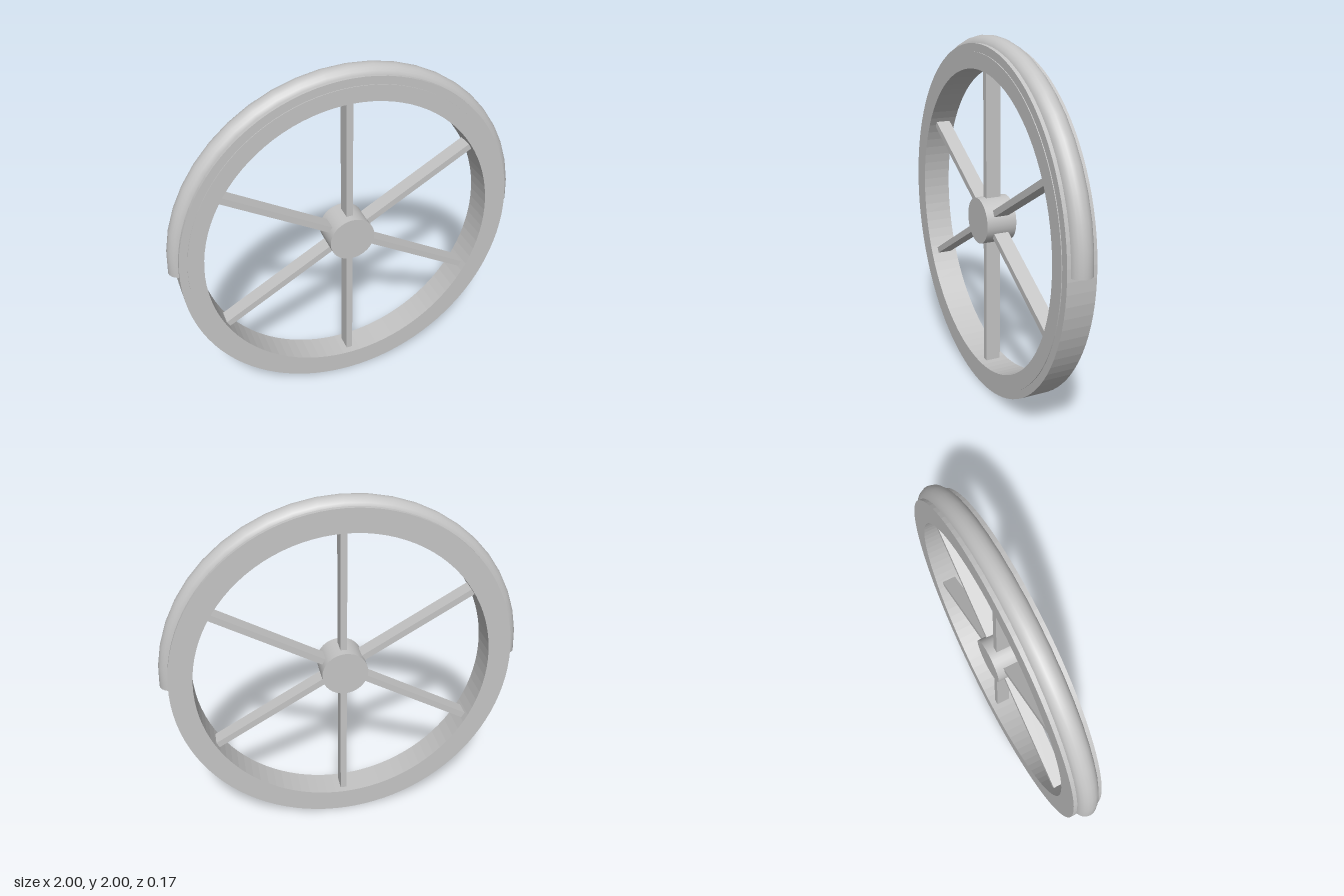
import * as THREE from 'three';

const SEGMENTS = 48;

// Flat ring extruded along z, from z0 to z1
function ring(outer, inner, z0, z1) {
  const shape = new THREE.Shape().absarc(0, 0, outer, 0, Math.PI * 2, false);
  shape.holes.push(new THREE.Path().absarc(0, 0, inner, 0, Math.PI * 2, true));
  const geo = new THREE.ExtrudeGeometry(shape, { depth: z1 - z0, bevelEnabled: false, curveSegments: SEGMENTS });
  return geo.translate(0, 0, z0);
}

export function createModel() {
  const model = new THREE.Group();
  model.name = 'spokedWheel';
  const grey = new THREE.MeshStandardMaterial({ color: 0xc4c4c4 });
  grey.name = 'light grey';

  const add = (name, geometry, parent = model) => {
    const mesh = new THREE.Mesh(geometry, grey);
    mesh.name = name;
    parent.add(mesh);
    return mesh;
  };

  // Rim, slightly taller than wide, with a thin raised ring on its front
  const rim = new THREE.Group();
  rim.name = 'rim';
  rim.position.y = 0.982;
  rim.scale.y = 1.0236;
  model.add(rim);
  add('rimBody', ring(0.955, 0.826, -0.08, 0.08), rim);
  add('frontRing', ring(0.912, 0.826, 0.08, 0.084), rim);

  // Everything else is centred on the axle
  const wheel = new THREE.Group();
  wheel.name = 'wheelCentre';
  wheel.position.y = 1;
  model.add(wheel);

  // Rounded guard over the upper half, closed at both ends
  const tube = 0.062, sweep = 1 - tube;
  add('guard', new THREE.TorusGeometry(sweep, tube, 20, 24, Math.PI), wheel);
  for (const side of [-1, 1]) {
    const cap = add('guardEnd', new THREE.CircleGeometry(tube, 20), wheel);
    cap.rotation.x = Math.PI / 2;
    cap.position.x = side * sweep;
  }

  // Hub
  add('hub', new THREE.CylinderGeometry(0.129, 0.129, 0.174, 32).rotateX(Math.PI / 2), wheel);

  // Six spokes running from the hub into the rim
  const spokeGeo = new THREE.BoxGeometry(0.036, 0.77, 0.085).translate(0, 0.485, 0);
  for (let i = 0; i < 6; i++) {
    add('spoke', spokeGeo, wheel).rotation.z = (i * Math.PI) / 3;
  }

  return model;
}
